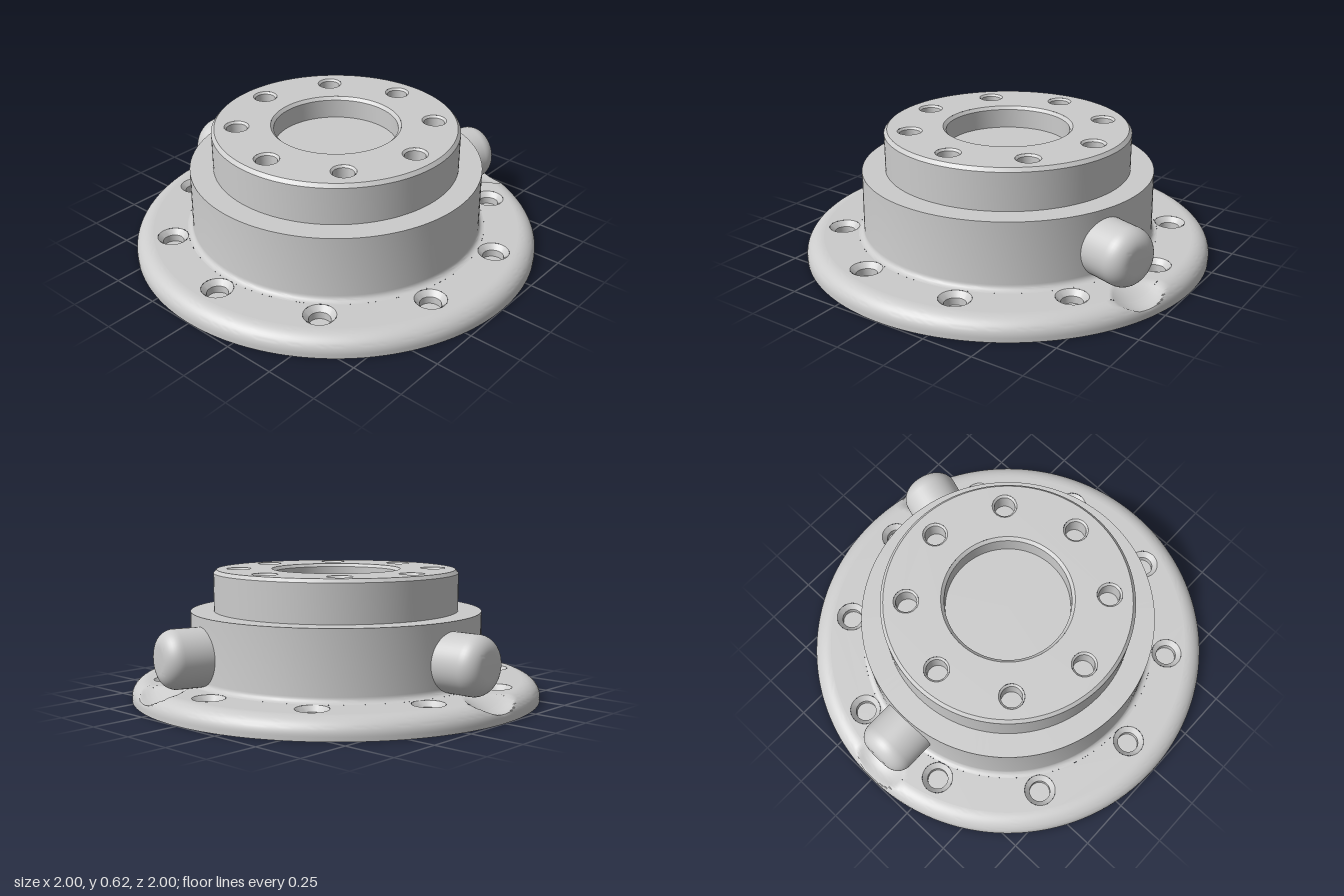
import * as THREE from 'three';
import { toCreasedNormals } from 'three/addons/utils/BufferGeometryUtils.js';

const DEG = Math.PI / 180;
const FLANGE_Y = 0.095, TOP_Y = 0.62;
const KNOB_ANGLES = [90 * DEG, -18 * DEG]; // measured from +x towards -z
const SECTOR = 11 * DEG;                   // half angle of the flange patch below a knob

const material = new THREE.MeshStandardMaterial({ color: 0xcccccc });

function addMesh(parent, name, geometry) {
  const mesh = new THREE.Mesh(geometry, material);
  mesh.name = name;
  parent.add(mesh);
  return mesh;
}

function lathe(points, segments) {
  return new THREE.LatheGeometry(points.map(([r, y]) => new THREE.Vector2(r, y)), segments);
}

// points of a quarter ellipse, from angle a to angle b
function arc(cx, cy, rx, ry, a, b, n = 8) {
  return Array.from({ length: n + 1 }, (_, i) => {
    const t = (a + (b - a) * i / n) * DEG;
    return [cx + rx * Math.cos(t), cy + ry * Math.sin(t)];
  });
}

const polar = (radius, angle) => [radius * Math.cos(angle), radius * Math.sin(angle)];

function circlePath(x, y, r) {
  return new THREE.Path().absarc(x, y, r, 0, Math.PI * 2, true);
}

// flat face lying at height y
function flatFace(shape, y, curveSegments) {
  return new THREE.ShapeGeometry(shape, curveSegments).rotateX(-Math.PI / 2).translate(0, y, 0);
}

// presses a sloping trough into the flange in front of each knob
function scoop(geometry) {
  const p = geometry.attributes.position;
  for (let i = 0; i < p.count; i++) {
    for (const a of KNOB_ANGLES) {
      const along = p.getX(i) * Math.cos(a) - p.getZ(i) * Math.sin(a);
      const across = p.getX(i) * Math.sin(a) + p.getZ(i) * Math.cos(a);
      if (along < 0) continue;
      const floor = FLANGE_Y - 0.055 * THREE.MathUtils.smoothstep(along, 0.78, 0.96);
      p.setY(i, Math.min(p.getY(i), floor + 2.3 * across * across));
    }
  }
  geometry.computeVertexNormals();
  return geometry;
}

// blind hole with a chamfered mouth
function addWell(parent, name, [x, y], top, mouth, bore, depth, segments = 32) {
  const profile = [[mouth, top], [bore, top - (mouth - bore)], [bore, top - depth], [0, top - depth]];
  const well = addMesh(parent, name, toCreasedNormals(lathe(profile, segments), 0.5));
  well.position.set(x, 0, -y);
}

function buildFlange() {
  const group = new THREE.Group();
  group.name = 'flange';
  const inner = 0.745, outer = 0.915;

  // underside and rounded rim
  const rim = lathe([[0, 0], [1, 0], ...arc(outer, 0.02, 1 - outer, FLANGE_Y - 0.02, 0, 90, 14)], 240);
  addMesh(group, 'flangeRim', toCreasedNormals(scoop(rim), 0.7));

  // top face between the knobs, pierced by the bolt holes
  const holes = Array.from({ length: 10 }, (_, i) => polar(0.82, i * 36 * DEG));
  const spans = [[-18, 90, [0, 1, 2]], [90, 342, [3, 4, 5, 6, 7, 8, 9]]];
  for (const [from, to, indices] of spans) {
    const a = from * DEG + SECTOR, b = to * DEG - SECTOR;
    const shape = new THREE.Shape();
    shape.absarc(0, 0, outer, a, b, false);
    shape.absarc(0, 0, inner, b, a, true);
    for (const i of indices) shape.holes.push(circlePath(...holes[i], 0.075));
    addMesh(group, 'flangeTop', flatFace(shape, FLANGE_Y, 120));
  }
  for (const hole of holes) addWell(group, 'flangeBoltHole', hole, FLANGE_Y, 0.075, 0.05, 0.06);

  // scooped patches below the knobs
  for (const a of KNOB_ANGLES) {
    const patch = new THREE.RingGeometry(inner, outer, 32, 12, a - SECTOR, 2 * SECTOR);
    patch.rotateX(-Math.PI / 2).translate(0, FLANGE_Y, 0);
    addMesh(group, 'flangeScoop', scoop(patch));
  }
  return group;
}

function buildHub() {
  const group = new THREE.Group();
  group.name = 'hub';

  // stepped body with a fillet at its foot and a chamfer at its top
  const profile = [
    ...arc(0.745, FLANGE_Y + 0.028, 0.028, 0.028, 270, 180, 6),
    [0.713, 0.42], [0.6, 0.42], [0.6, TOP_Y - 0.017], [0.585, TOP_Y],
  ];
  addMesh(group, 'hubBody', toCreasedNormals(lathe(profile, 128), 0.5));

  // top face with its ring of bolt holes around the central bore
  const face = new THREE.Shape().absarc(0, 0, 0.585, 0, Math.PI * 2, false);
  face.holes.push(circlePath(0, 0, 0.315));
  for (let i = 0; i < 8; i++) {
    const hole = polar(0.477, i * 45 * DEG);
    face.holes.push(circlePath(...hole, 0.06));
    addWell(group, 'hubBoltHole', hole, TOP_Y, 0.06, 0.05, 0.1);
  }
  addMesh(group, 'hubTop', flatFace(face, TOP_Y, 64));
  addWell(group, 'centralBore', [0, 0], TOP_Y, 0.315, 0.3, 0.11, 96);
  return group;
}

// round-ended stub sticking out of the hub
function buildKnob(angle) {
  const profile = [[0.14, 0.6], ...arc(0.06, 0.84, 0.08, 0.08, 0, 90, 10), [0, 0.92]];
  const geometry = lathe(profile, 48).rotateZ(-Math.PI / 2);
  const group = new THREE.Group();
  group.name = 'sideKnob';
  addMesh(group, 'knobBody', toCreasedNormals(geometry, 0.5));
  group.position.y = 0.235;
  group.rotation.y = angle;
  return group;
}

export function createModel() {
  const model = new THREE.Group();
  model.name = 'flangedHub';
  model.add(buildFlange(), buildHub(), ...KNOB_ANGLES.map(buildKnob));
  return model;
}
